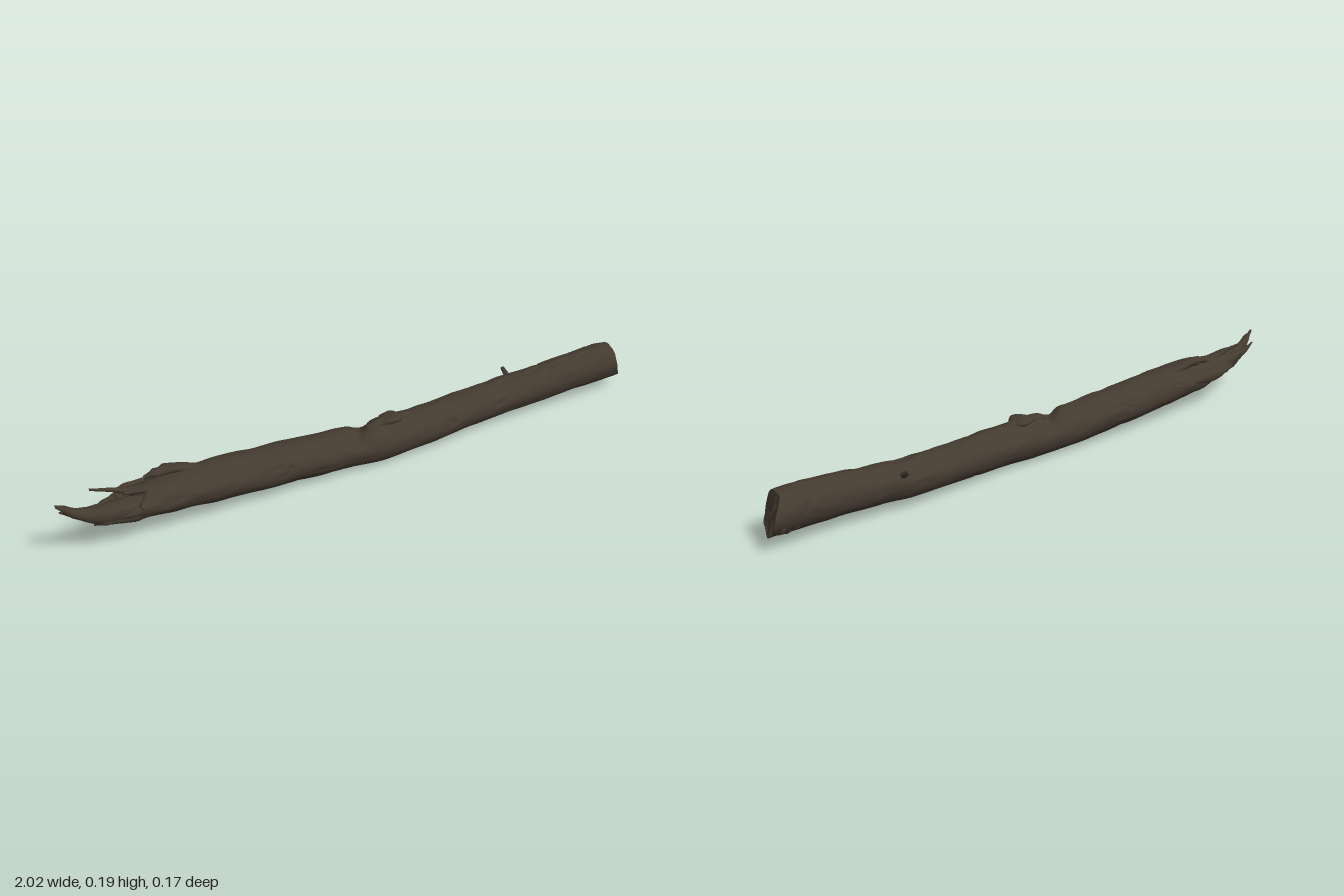
import * as THREE from 'three';

const SIDES = 56;
const TAU = Math.PI * 2;

// Body outline along x: [x, bottom, top, back z, front z]
const SECTIONS = [
  [-0.95, 0.105, 0.145, -0.03, 0.03], [-0.85, 0.083, 0.148, -0.05, 0.045],
  [-0.75, 0.066, 0.150, -0.07, 0.056], [-0.65, 0.052, 0.160, -0.082, 0.062],
  [-0.5, 0.038, 0.160, -0.084, 0.066], [-0.3, 0.024, 0.147, -0.080, 0.066],
  [-0.1, 0.010, 0.138, -0.068, 0.068], [0.05, 0.004, 0.136, -0.056, 0.082],
  [0.2, 0.012, 0.132, -0.054, 0.082], [0.4, 0.019, 0.133, -0.058, 0.070],
  [0.55, 0.023, 0.138, -0.060, 0.066], [0.65, 0.028, 0.146, -0.047, 0.070],
  [0.8, 0.035, 0.160, -0.042, 0.075], [0.92, 0.038, 0.166, -0.038, 0.078],
  [1.0, 0.040, 0.160, -0.034, 0.078],
];

function section(x) {
  let i = 0;
  while (i < SECTIONS.length - 2 && x > SECTIONS[i + 1][0]) i++;
  const a = SECTIONS[i], b = SECTIONS[i + 1];
  const t = THREE.MathUtils.smoothstep(x, a[0], b[0]);
  return a.map((v, k) => v + (b[k] - v) * t);
}

// Repeatable value noise, wrapping in v with the given period
function hash(i, j) {
  const s = Math.sin(i * 127.1 + j * 311.7) * 43758.5453;
  return s - Math.floor(s);
}
function noise(u, v, period) {
  const i = Math.floor(u), j = Math.floor(v);
  const f = THREE.MathUtils.smoothstep(u - i, 0, 1), g = THREE.MathUtils.smoothstep(v - j, 0, 1);
  const h = (a, b) => hash(a, (b + period) % period);
  const p = h(i, j) + (h(i + 1, j) - h(i, j)) * f;
  const q = h(i, j + 1) + (h(i + 1, j + 1) - h(i, j + 1)) * f;
  return (p + (q - p) * g) * 2 - 1;
}

// Skin over closed rings of points
function loft(rings) {
  const n = rings[0].length, index = [];
  for (let i = 0; i < rings.length - 1; i++) {
    for (let j = 0; j < n; j++) {
      const k = (j + 1) % n, a = i * n, b = a + n;
      index.push(a + j, a + k, b + j, a + k, b + k, b + j);
    }
  }
  const geo = new THREE.BufferGeometry();
  geo.setAttribute('position', new THREE.Float32BufferAttribute(rings.flat(2), 3));
  geo.setIndex(index);
  geo.computeVertexNormals();
  return geo;
}

// One bark point; angle 0 is up, a quarter turn is the front
function barkPoint(t, angle) {
  const up = Math.cos(angle), front = Math.sin(angle), v = angle / TAU;
  // Slanted sawn end on the right, ragged torn end on the left
  const right = 0.985 - 0.02 * up - 0.018 * front + 0.006 * noise(3, v * 14, 14);
  const left = -0.82 + 0.055 * up + 0.02 * front + 0.045 * noise(9, v * 18, 18);
  const x = left + (right - left) * t;
  const [, y0, y1, z0, z1] = section(x);
  const rough = 0.35 + 0.65 * THREE.MathUtils.smoothstep(up, -0.5, 0.5);
  const torn = 1 + 1.3 * THREE.MathUtils.smoothstep(-x, 0.45, 0.8);
  let r = 1 + rough * torn * (0.035 * noise(x * 9, v * 9, 9) + 0.03 * noise(x * 22, v * 24, 24));
  // Long bark cracks
  const crack = noise(x * 5 + 40, v * 20, 20);
  r -= 0.09 * rough * Math.max(0, 1 - Math.abs(crack) * 7) * THREE.MathUtils.smoothstep(noise(x * 7, v * 5, 5), -0.1, 0.3);
  // Notch across the top, running diagonally down the front
  const gap = (x + 0.018 + 0.04 * front) / 0.028;
  r -= 0.3 * Math.exp(-gap * gap) * THREE.MathUtils.smoothstep(up, 0.1, 0.95);
  return [x, (y0 + y1) / 2 + up * r * (y1 - y0) / 2, (z0 + z1) / 2 + front * r * (z1 - z0) / 2];
}

function barkRing(t) {
  return Array.from({ length: SIDES }, (_, j) => barkPoint(t, j / SIDES * TAU));
}

// Rings shrinking from a rim to its centre, pushed along x by depth
function endRings(rim, depth, bump) {
  const c = [0, 1, 2].map(k => rim.reduce((s, p) => s + p[k], 0) / rim.length);
  return [1, 0.93, 0.8, 0.6, 0.4, 0.2, 0].map((s, i) => rim.map((p, j) => {
    const q = p.map((v, k) => c[k] + (v - c[k]) * s);
    const inner = s === 1 ? 0 : 1 - s * s;
    q[0] += depth * inner + (s < 1 && s > 0 ? bump * noise(i * 0.8, j / SIDES * 10, 10) : 0);
    return q;
  }));
}

// Tapered splinter from stations [x, y, z, half height, half depth], x rising
function splinter(stations, seed) {
  const curve = k => new THREE.CatmullRomCurve3(stations.map(s => new THREE.Vector3(...k.map(i => s[i]))));
  const path = curve([0, 1, 2]), size = curve([3, 4, 4]);
  const steps = 24, sides = 14, rings = [];
  for (let i = 0; i <= steps; i++) {
    const p = path.getPoint(i / steps), s = size.getPoint(i / steps);
    rings.push(Array.from({ length: sides }, (_, j) => {
      const a = j / sides * TAU, r = 1 + 0.28 * noise(i * 0.35 + seed, j / sides * 7, 7);
      return [p.x, p.y + Math.cos(a) * s.x * r, p.z + Math.sin(a) * s.y * r];
    }));
  }
  return loft(rings);
}

export function createModel() {
  const log = new THREE.Group();
  log.name = 'fallenLog';
  const bark = new THREE.MeshStandardMaterial({ color: 0x443b30 });
  bark.name = 'bark';
  const wood = new THREE.MeshStandardMaterial({ color: 0x483d32 });
  wood.name = 'exposedWood';
  const add = (name, geo, mat) => {
    const mesh = new THREE.Mesh(geo, mat);
    mesh.name = name;
    log.add(mesh);
    return mesh;
  };

  // Trunk and its two ends
  const rings = Array.from({ length: 261 }, (_, i) => barkRing(i / 260));
  add('trunk', loft(rings), bark);
  add('sawnEnd', loft(endRings(rings[260], -0.006, 0.006)), wood);
  add('tornEnd', loft(endRings(rings[0], 0.03, 0.02).reverse()), bark);

  // Splinters at the torn end, and loose strips along the top
  const splinters = {
    longSplinter: [[-1, 0.187, 0.008, 0.003, 0.004], [-0.97, 0.162, 0.004, 0.014, 0.012],
      [-0.93, 0.13, 0.002, 0.02, 0.018], [-0.87, 0.115, 0.01, 0.029, 0.028], [-0.72, 0.105, 0.01, 0.03, 0.03]],
    sideSplinter: [[-0.985, 0.15, -0.012, 0.002, 0.003], [-0.94, 0.128, -0.012, 0.011, 0.009],
      [-0.86, 0.115, -0.015, 0.02, 0.015], [-0.76, 0.11, -0.02, 0.02, 0.02]],
    thinSplinter: [[-0.882, 0.176, -0.04, 0.003, 0.003], [-0.84, 0.166, -0.03, 0.006, 0.005],
      [-0.78, 0.15, -0.022, 0.008, 0.008], [-0.7, 0.135, -0.02, 0.008, 0.01]],
    backSplinter: [[-0.795, 0.122, -0.077, 0.006, 0.004], [-0.76, 0.12, -0.078, 0.014, 0.011],
      [-0.69, 0.115, -0.074, 0.02, 0.014], [-0.58, 0.11, -0.07, 0.014, 0.008]],
    frontSplinter: [[-0.9, 0.1, 0.022, 0.004, 0.004], [-0.85, 0.1, 0.03, 0.012, 0.012],
      [-0.76, 0.1, 0.036, 0.02, 0.015], [-0.65, 0.1, 0.035, 0.014, 0.014]],
    topRidge: [[-0.715, 0.155, -0.045, 0.004, 0.006], [-0.68, 0.163, -0.04, 0.012, 0.016],
      [-0.645, 0.165, -0.035, 0.016, 0.02], [-0.58, 0.155, -0.03, 0.012, 0.02], [-0.48, 0.145, -0.025, 0.008, 0.012]],
    notchStrip: [[0.01, 0.125, 0.01, 0.006, 0.012], [0.06, 0.133, 0.012, 0.008, 0.018],
      [0.13, 0.132, 0.014, 0.008, 0.018], [0.22, 0.122, 0.014, 0.004, 0.01]],
  };
  Object.entries(splinters).forEach(([name, stations], i) => add(name, splinter(stations, i * 13), bark));

  // Broken branch stub on the back
  const stub = add('branchStub', new THREE.CylinderGeometry(0.006, 0.012, 0.045, 10), bark);
  stub.position.set(0.59, 0.122, -0.052);
  stub.rotation.x = -1;

  // Small lip at the lower back of the sawn end
  add('sawnEndLip', splinter([[0.93, 0.065, 0.0, 0.018, 0.025], [0.97, 0.066, -0.004, 0.022, 0.025],
    [0.99, 0.068, -0.008, 0.018, 0.018], [1, 0.068, -0.01, 0.002, 0.003]], 91), wood);
  return log;
}
